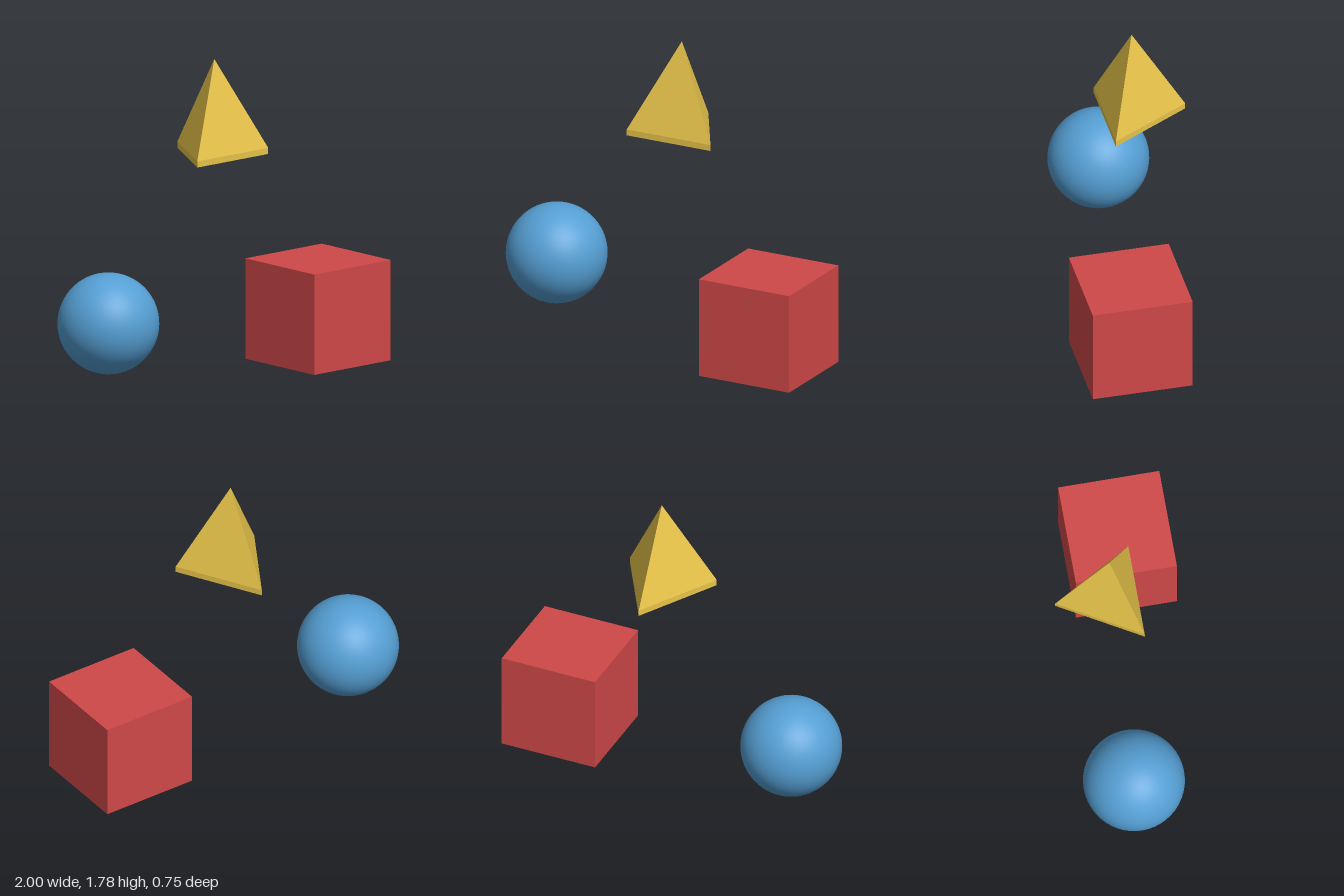
import * as THREE from 'three';

function addPart(group, name, geometry, color, position, flatShading) {
  const mesh = new THREE.Mesh(geometry, new THREE.MeshStandardMaterial({ color, flatShading }));
  mesh.name = name;
  mesh.position.set(...position);
  group.add(mesh);
}

export function createModel() {
  const group = new THREE.Group();
  group.name = 'floatingShapes';

  // Cube resting on the ground
  addPart(group, 'cube', new THREE.BoxGeometry(0.572, 0.572, 0.572), 0xd04848, [0.714, 0.286, 0.089], true);

  // Smooth ball
  addPart(group, 'sphere', new THREE.SphereGeometry(0.284, 48, 32), 0x559fd4, [-0.716, 0.39, -0.068], false);

  // Three-sided pyramid with a thin upright rim at its base, one corner to the back
  const profile = [[0, 0], [0.307, 0], [0.307, 0.035], [0, 0.555]].map(([r, y]) => new THREE.Vector2(r, y));
  addPart(group, 'pyramid', new THREE.LatheGeometry(profile, 3, Math.PI), 0xe8c44a, [0.078, 1.225, -0.068], true);

  return group;
}
